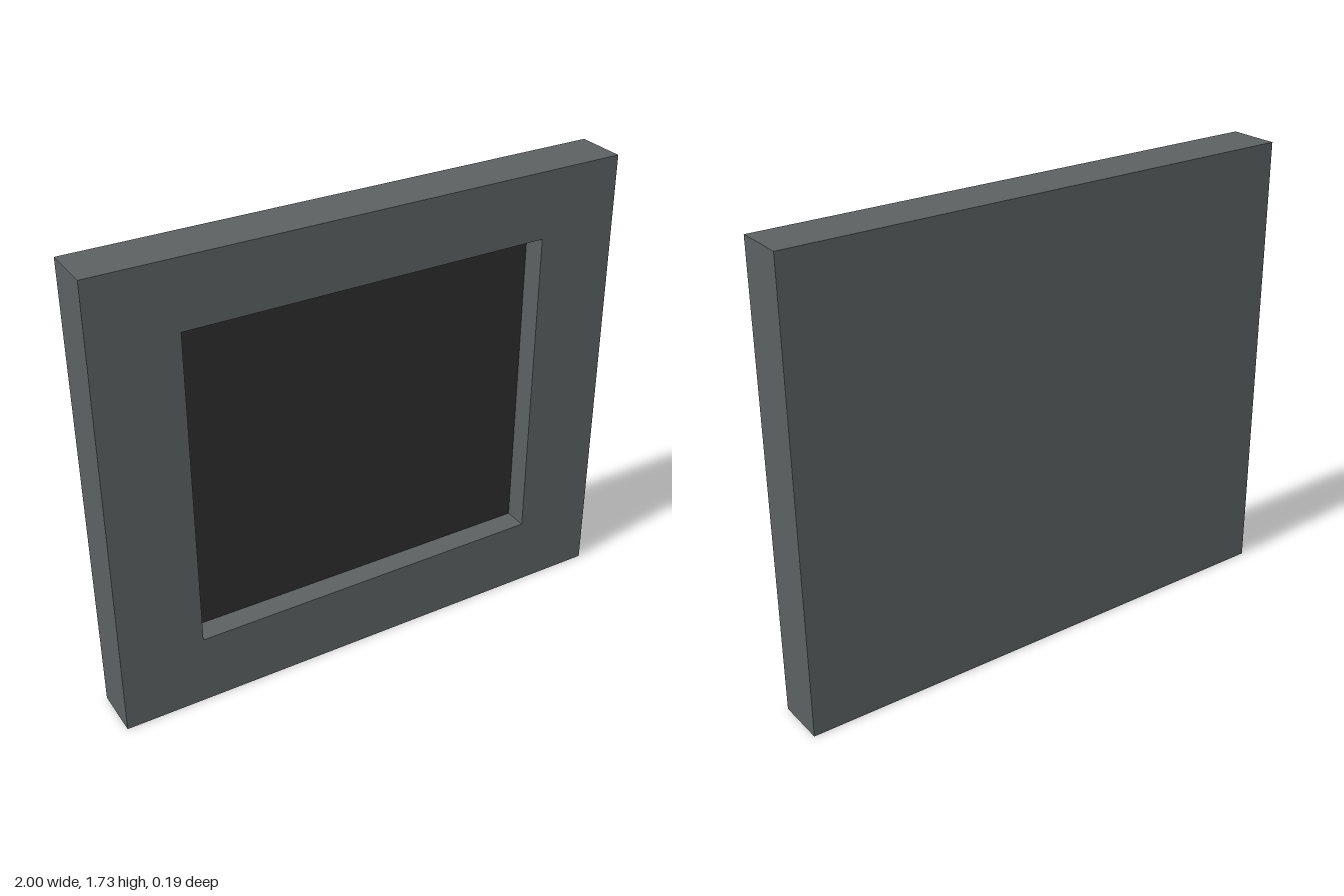
import * as THREE from 'three';

const W = 2, H = 1.73, D = 0.19;                 // outer size
const OPEN = { x: 0.69, y0: 0.27, y1: 1.48 };    // opening in the border
const RECESS = 0.09;                             // depth of the opening

// Rectangle outline from corner to corner
function rect(Type, x0, y0, x1, y1) {
  const path = new Type();
  path.moveTo(x0, y0);
  path.lineTo(x1, y0);
  path.lineTo(x1, y1);
  path.lineTo(x0, y1);
  path.closePath();
  return path;
}

export function createModel() {
  const group = new THREE.Group();
  const frameGrey = new THREE.MeshStandardMaterial({ color: 0x5c6060 });
  frameGrey.name = 'frameGrey';
  const panelBlack = new THREE.MeshStandardMaterial({ color: 0x2d2d2d });
  panelBlack.name = 'panelBlack';

  const add = (name, geometry, material, y, z) => {
    const mesh = new THREE.Mesh(geometry, material);
    mesh.name = name;
    mesh.position.set(0, y, z);
    group.add(mesh);
  };

  // Solid backing slab behind the recess
  const backDepth = D - RECESS;
  add('backing', new THREE.BoxGeometry(W, H, backDepth), frameGrey, H / 2, (backDepth - D) / 2);

  // Front border with a rectangular opening
  const outline = rect(THREE.Shape, -W / 2, 0, W / 2, H);
  outline.holes.push(rect(THREE.Path, -OPEN.x, OPEN.y0, OPEN.x, OPEN.y1));
  const border = new THREE.ExtrudeGeometry(outline, { depth: RECESS, bevelEnabled: false });
  add('border', border, frameGrey, 0, D / 2 - RECESS);

  // Dark panel on the floor of the recess
  const panel = new THREE.BoxGeometry(OPEN.x * 2, OPEN.y1 - OPEN.y0, 0.004);
  add('panel', panel, panelBlack, (OPEN.y0 + OPEN.y1) / 2, D / 2 - RECESS);

  return group;
}
